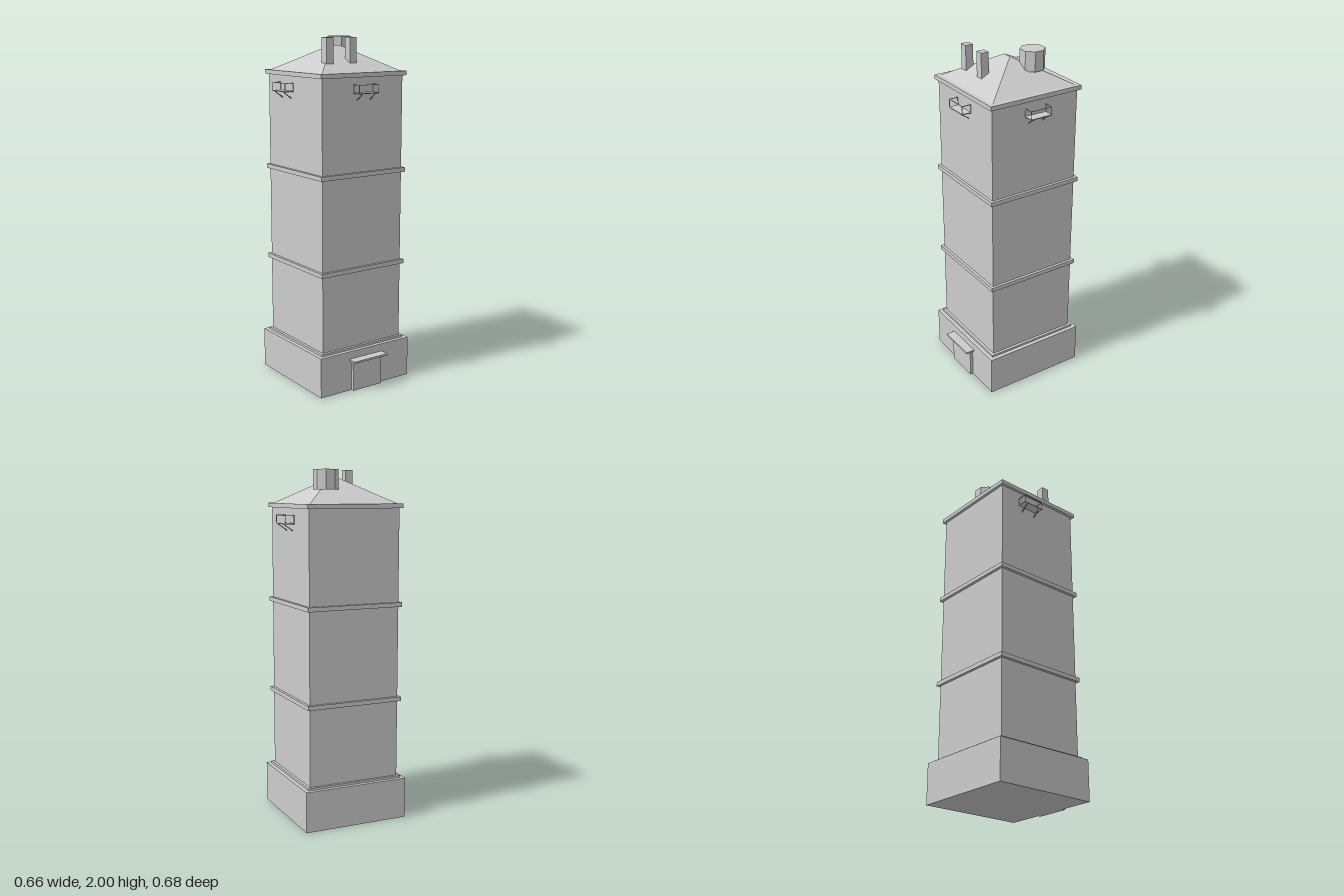
import * as THREE from 'three';

const CZ = -0.027; // tower axis in z

export function createModel() {
  const model = new THREE.Group();
  model.name = 'tower';
  const stone = new THREE.MeshStandardMaterial({ color: 0xcccccc });
  stone.name = 'pale grey stone';

  const add = (parent, name, geometry, x, y, z) => {
    const mesh = new THREE.Mesh(geometry, stone);
    mesh.name = name;
    mesh.position.set(x, y, z);
    parent.add(mesh);
    return mesh;
  };
  // box given by its extents along each axis
  const box = (parent, name, x0, x1, y0, y1, z0, z1) =>
    add(parent, name, new THREE.BoxGeometry(x1 - x0, y1 - y0, z1 - z0),
      (x0 + x1) / 2, (y0 + y1) / 2, (z0 + z1) / 2);
  // square storey centred on the tower axis
  const storey = (name, half, y0, y1) =>
    box(model, name, -half, half, y0, y1, CZ - half, CZ + half);

  // plinth, shaft and string courses
  storey('plinth', 0.312, 0, 0.235);
  storey('plinthLedge', 0.289, 0.235, 0.248);
  storey('shaft', 0.273, 0.248, 1.8);
  storey('lowerBand', 0.289, 0.692, 0.717);
  storey('upperBand', 0.289, 1.237, 1.262);
  storey('cornice', 0.289, 1.787, 1.812);

  // hipped roof: a box whose top is pinched to a short ridge
  const roof = new THREE.BoxGeometry(0.532, 0.14, 0.528).toNonIndexed();
  const p = roof.attributes.position;
  for (let i = 0; i < p.count; i++) {
    if (p.getY(i) > 0) p.setXYZ(i, Math.sign(p.getX(i)) * 0.029, p.getY(i), 0);
  }
  roof.computeVertexNormals();
  add(model, 'roof', roof, 0, 1.882, CZ);

  // chimneys and octagonal tank
  for (const x of [-0.157, 0]) box(model, 'chimney', x - 0.023, x + 0.023, 1.857, 2, 0.104, 0.151);
  const tank = new THREE.CylinderGeometry(0.0704, 0.0704, 0.112, 8, 1, false, Math.PI / 8).toNonIndexed();
  tank.computeVertexNormals();
  add(model, 'octagonalTank', tank, 0.097, 1.944, -0.126);

  // door and its canopy
  box(model, 'door', -0.1, 0.1, 0, 0.18, 0.28, 0.303);
  box(model, 'doorCanopy', -0.117, 0.117, 0.179, 0.19, 0.28, 0.338);

  // balcony on the wall plane z = 0, projecting towards +z
  const balcony = (name, x, z, turn) => {
    const g = new THREE.Group();
    g.name = name;
    const w = 0.067, d = 0.055, t = 0.003;
    box(g, 'balconyFloor', -w, w, 1.699, 1.704, 0, d);
    box(g, 'frontRail', -w, w, 1.746, 1.749, d - t, d);
    for (const s of [-1, 1]) {
      const e = s * (w - t / 2);
      box(g, 'sideRail', e - t / 2, e + t / 2, 1.746, 1.749, 0, d);
      box(g, 'wallPost', e - t / 2, e + t / 2, 1.7, 1.748, 0, t);
      box(g, 'cornerPost', e - t / 2, e + t / 2, 1.7, 1.748, d - t, d);
      // diagonal strut from the wall to the outer edge
      const strut = add(g, 'strut', new THREE.BoxGeometry(0.005, 0.004, 0.064), s * 0.045, 1.681, 0.027);
      strut.rotation.x = -Math.atan2(0.036, 0.052);
    }
    g.position.set(x, 0, z);
    g.rotation.y = turn;
    model.add(g);
  };
  balcony('frontBalcony', 0, 0.246, 0);
  balcony('leftBalcony', 0.273, -0.028, Math.PI / 2);
  balcony('rightBalcony', -0.273, -0.106, -Math.PI / 2);

  return model;
}
